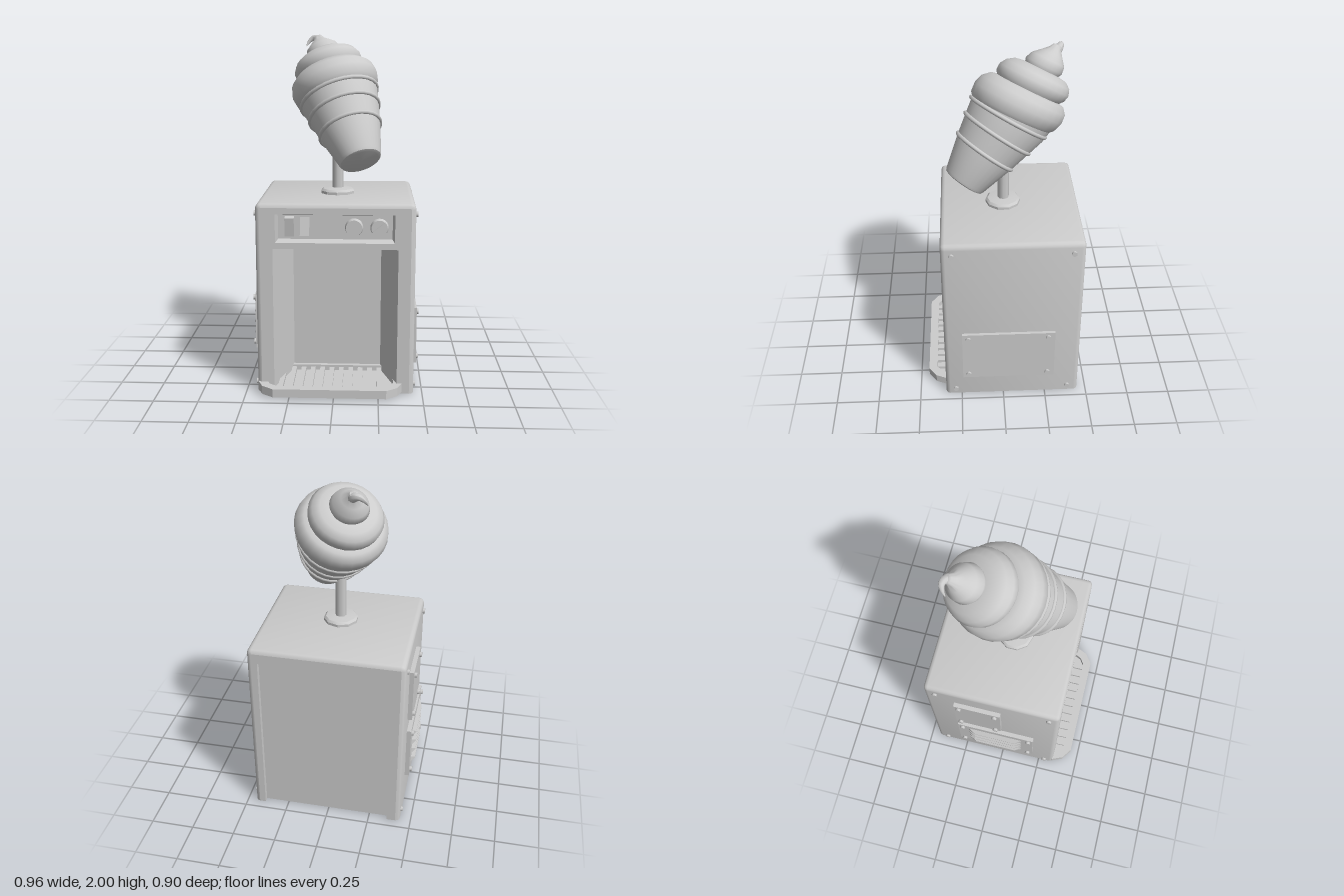
import * as THREE from 'three';
import { toCreasedNormals } from 'three/addons/utils/BufferGeometryUtils.js';

const grey = new THREE.MeshStandardMaterial({ color: 0xcccccc, side: THREE.DoubleSide });
grey.name = 'light grey';

// Body extents
const L = -0.435, R = 0.45, H = 1.095, FRONT = 0.345, BACK = -0.45, ROUND = 0.03;

export function createModel() {
  const model = new THREE.Group();

  const add = (name, geo, x = 0, y = 0, z = 0, parent = model) => {
    const m = new THREE.Mesh(geo, grey);
    m.name = name;
    m.position.set(x, y, z);
    parent.add(m);
    return m;
  };
  const box = (name, x0, x1, y0, y1, z0, z1) =>
    add(name, new THREE.BoxGeometry(x1 - x0, y1 - y0, z1 - z0), (x0 + x1) / 2, (y0 + y1) / 2, (z0 + z1) / 2);
  const poly = (pts) => new THREE.Shape(pts.map(([x, y]) => new THREE.Vector2(x, y)));

  // Flat-shaded surface made of separate four-cornered faces
  const sheet = (name, quads) => {
    const pos = quads.flatMap(([a, b, c, d]) => [a, b, c, a, c, d].flat());
    const g = new THREE.BufferGeometry();
    g.setAttribute('position', new THREE.Float32BufferAttribute(pos, 3));
    g.computeVertexNormals();
    return add(name, g);
  };

  // Arch outline of the housing, open at the bottom
  const arch = (d) => {
    const pts = [[L + d, 0]], r = ROUND - d;
    for (let i = 0; i <= 4; i++) {
      const a = Math.PI - (i / 4) * Math.PI / 2;
      pts.push([L + ROUND + r * Math.cos(a), H - ROUND + r * Math.sin(a)]);
    }
    for (let i = 0; i <= 4; i++) {
      const a = Math.PI / 2 - (i / 4) * Math.PI / 2;
      pts.push([R - ROUND + r * Math.cos(a), H - ROUND + r * Math.sin(a)]);
    }
    pts.push([R - d, 0]);
    return pts;
  };

  // Housing shell: arch sections from front to back with rounded edges
  const rings = [[0, 0.025], [0.004, 0.012], [0.012, 0.004], [0.025, 0]];
  const sections = [
    ...rings.map(([dz, d]) => [FRONT - dz, d]),
    ...rings.slice().reverse().map(([dz, d]) => [BACK + dz, d]),
  ];
  const pos = [], idx = [], n = arch(0).length;
  sections.forEach(([z, d], s) => {
    arch(d).forEach(([x, y], i) => {
      pos.push(x, y, z);
      if (s && i) {
        const a = (s - 1) * n + i - 1, b = s * n + i - 1;
        idx.push(a, a + 1, b + 1, a, b + 1, b);
      }
    });
  });
  const shell = new THREE.BufferGeometry();
  shell.setAttribute('position', new THREE.Float32BufferAttribute(pos, 3));
  shell.setIndex(idx);
  add('housingShell', toCreasedNormals(shell, 0.7));

  // Front face with alcove opening and control recess
  const frontFace = poly([...arch(0.025), [0.355, 0], [0.355, 0.84], [-0.34, 0.84], [-0.34, 0]]);
  frontFace.holes.push(poly([[-0.325, 0.875], [0.335, 0.875], [0.335, 1.035], [-0.325, 1.035]]));
  add('frontFace', new THREE.ShapeGeometry(frontFace), 0, 0, FRONT);

  // Back face with recessed rear panel
  const bl = -0.36, br = 0.39, bt = 1.01, bz = -0.42;
  const backFace = poly([...arch(0.025), [br, 0], [br, bt], [bl, bt], [bl, 0]]);
  add('backFace', new THREE.ShapeGeometry(backFace).rotateX(0).scale(1, 1, -1), 0, 0, BACK);
  sheet('rearPanel', [
    [[br, 0, bz], [bl, 0, bz], [bl, bt, bz], [br, bt, bz]],
    [[br, 0, BACK], [br, 0, bz], [br, bt, bz], [br, bt, BACK]],
    [[bl, 0, bz], [bl, 0, BACK], [bl, bt, BACK], [bl, bt, bz]],
    [[br, bt, BACK], [br, bt, bz], [bl, bt, bz], [bl, bt, BACK]],
  ]);

  // Dispensing alcove with splayed side walls
  const plan = [[-0.34, FRONT], [-0.25, 0.06], [0.265, 0.06], [0.355, FRONT]];
  sheet('alcove', [
    ...[0, 1, 2].map((i) => {
      const [[x0, z0], [x1, z1]] = [plan[i], plan[i + 1]];
      return [[x0, 0, z0], [x1, 0, z1], [x1, 0.84, z1], [x0, 0.84, z0]];
    }),
    plan.map(([x, z]) => [x, 0.84, z]),
  ]);
  box('nozzleBlock', -0.04, 0.05, 0.735, 0.84, 0.15, 0.24);
  box('nozzleSpout', -0.02, 0.03, 0.67, 0.735, 0.17, 0.22);

  // Control recess with slightly tapered walls
  const rect = (d, z) => [[-0.325 + d, 0.875 + d, z], [0.335 - d, 0.875 + d, z], [0.335 - d, 1.035 - d, z], [-0.325 + d, 1.035 - d, z]];
  const rim = rect(0, FRONT), bed = rect(0.012, 0.295);
  sheet('controlRecess', [bed, ...[0, 1, 2, 3].map((i) => [rim[i], rim[(i + 1) % 4], bed[(i + 1) % 4], bed[i]])]);

  // Rocker switches
  [[-0.2475, 0.15], [-0.1625, -0.22]].forEach(([x, tilt]) => {
    add('rockerSwitch', new THREE.BoxGeometry(0.052, 0.106, 0.04), x, 0.96, 0.305).rotation.x = tilt;
  });

  // Dials with finger ridges
  [[0.11, 0], [0.25, -0.9]].forEach(([x, turn]) => {
    add('dial', new THREE.CylinderGeometry(0.045, 0.051, 0.03, 20).rotateX(Math.PI / 2), x, 0.955, 0.31);
    add('dialRidge', new THREE.BoxGeometry(0.014, 0.09, 0.018), x, 0.958, 0.332).rotation.z = turn;
  });

  // Drip tray: rim, floor and slats
  const octagon = (x0, x1, z0, z1, c) => [
    [x0, z0 + c], [x0 + c, z0], [x1 - c, z0], [x1, z0 + c],
    [x1, z1 - c * 1.2], [x1 - c * 0.3, z1 - c * 0.5], [x1 - c, z1],
    [x0 + c, z1], [x0 + c * 0.3, z1 - c * 0.5], [x0, z1 - c * 1.2],
  ];
  const flat = (shape, depth) =>
    new THREE.ExtrudeGeometry(shape, { depth, bevelEnabled: false }).rotateX(Math.PI / 2);
  const rimShape = poly(octagon(-0.43, 0.385, 0.04, 0.45, 0.09));
  rimShape.holes.push(poly(octagon(-0.38, 0.335, 0.085, 0.4, 0.055)));
  add('trayRim', flat(rimShape, 0.048), 0, 0.06, 0);
  add('trayFloor', flat(poly(octagon(-0.39, 0.345, 0.075, 0.41, 0.06)), 0.008), 0, 0.028, 0);
  for (let i = 0; i < 11; i++) {
    const x = -0.0225 + (i - 5) * 0.056;
    box('traySlat', x - 0.014, x + 0.014, 0.03, 0.048, 0.08, 0.402);
  }

  // Screws and cover plates on both sides
  const screws = (x, zs, ys) => zs.forEach((z) => ys.forEach((y) =>
    add('screw', new THREE.CylinderGeometry(0.015, 0.015, 0.024, 10).rotateZ(Math.PI / 2), x, y, z)));
  screws(R, [0.285, -0.385], [0.04, 1.03]);
  screws(L, [0.285, -0.385], [0.04, 1.03]);

  box('leftCover', R - 0.01, R + 0.018, 0.145, 0.475, -0.3, 0.24);
  screws(0.468, [0.205, -0.26], [0.175, 0.445]);

  box('rightUpperCover', L - 0.025, L + 0.01, 0.625, 0.95, -0.275, 0.003);
  screws(L - 0.027, [-0.245, -0.03], [0.655, 0.92]);
  box('rightVentCover', L - 0.025, L + 0.01, 0.21, 0.54, -0.275, 0.205);
  screws(L - 0.027, [-0.245, 0.175], [0.24, 0.51]);

  // Vent louvres: boxes whose outer edge is drawn down and in
  for (let i = 0; i < 4; i++) {
    const g = new THREE.BoxGeometry(0.024, 0.045, 0.355).toNonIndexed(), p = g.attributes.position;
    for (let k = 0; k < p.count; k++) {
      if (p.getX(k) < 0) {
        p.setY(k, p.getY(k) > 0 ? -0.016 : -0.0225);
        p.setZ(k, p.getZ(k) * 0.72);
      }
    }
    g.computeVertexNormals();
    add('ventLouvre', g, -0.468, 0.285 + i * 0.065, -0.0375);
  }

  // Post and collar on top
  add('postCollar', toCreasedNormals(new THREE.LatheGeometry(
    [[0.1, 0], [0.1, 0.018], [0.088, 0.03], [0.04, 0.036], [0, 0.036]].map(([x, y]) => new THREE.Vector2(x, y)), 10), 0.5),
  0.008, H - 0.003, -0.016);
  add('post', new THREE.CylinderGeometry(0.033, 0.033, 0.4, 8), 0.008, 1.31, -0.018);

  // Tilted ice cream cone
  const cone = new THREE.Group();
  cone.name = 'iceCream';
  cone.position.set(0.145, 1.31, 0.21);
  cone.quaternion.setFromUnitVectors(new THREE.Vector3(0, 1, 0), new THREE.Vector3(-0.298, 0.755, -0.585).normalize());
  model.add(cone);
  const lathe = (pts) => new THREE.LatheGeometry(pts.map(([x, y]) => new THREE.Vector2(x, y)), 28);
  // Slants a geometry so the swirl climbs towards the back
  const slant = (g, k) => {
    const p = g.attributes.position;
    for (let i = 0; i < p.count; i++) p.setY(i, p.getY(i) - k * p.getZ(i));
    return g;
  };

  add('cup', toCreasedNormals(lathe([[0, 0], [0.1, 0], [0.116, 0.006], [0.123, 0.02], [0.177, 0.21], [0.205, 0.33], [0.228, 0.43], [0.232, 0.5]]), 0.7), 0, 0, 0, cone);
  [[0.177, 0.21, 0], [0.205, 0.33, 0.03], [0.227, 0.435, 0.1]].forEach(([r, y, k]) => {
    add('cupBand', slant(new THREE.TorusGeometry(r, 0.012, 8, 28).rotateX(Math.PI / 2), k), 0, y, 0, cone);
  });
  const swirl = lathe([
    [0.222, 0.45], [0.246, 0.475], [0.257, 0.53], [0.247, 0.58], [0.215, 0.615], [0.185, 0.622],
    [0.2, 0.645], [0.203, 0.68], [0.186, 0.715], [0.15, 0.742], [0.098, 0.75],
    [0.106, 0.77], [0.095, 0.81], [0.06, 0.848], [0.036, 0.875], [0.024, 0.9], [0, 0.905],
  ]);
  add('swirl', toCreasedNormals(slant(swirl, 0.16), 0.9), 0, 0, 0, cone);

  // Curled tip: a tube narrowed towards its end
  const curve = new THREE.CatmullRomCurve3([
    [-0.108, 1.94, -0.285], [-0.118, 1.972, -0.318], [-0.148, 1.984, -0.335], [-0.175, 1.965, -0.328], [-0.192, 1.935, -0.312],
  ].map((p) => new THREE.Vector3(...p)));
  const tip = new THREE.TubeGeometry(curve, 14, 0.036, 10), tp = tip.attributes.position, v = new THREE.Vector3();
  for (let i = 0; i < tp.count; i++) {
    const u = Math.floor(i / 11) / 14, c = curve.getPointAt(u);
    v.fromBufferAttribute(tp, i).sub(c).multiplyScalar(1 - 0.92 * u).add(c);
    tp.setXYZ(i, v.x, v.y, v.z);
  }
  tip.computeVertexNormals();
  add('swirlTip', tip);

  return model;
}
